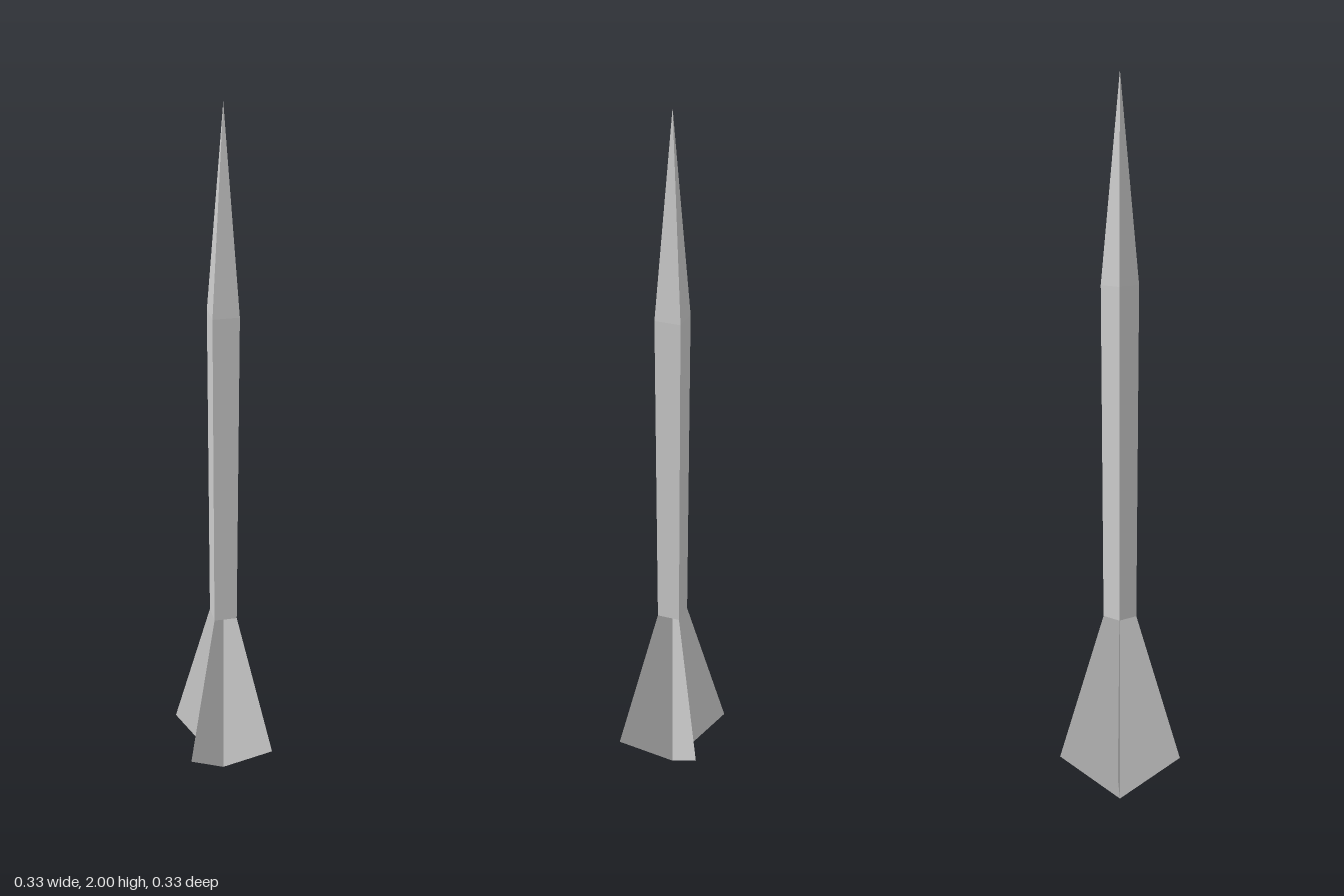
import * as THREE from 'three';

const BASE_Y = 0.53, SHOULDER_Y = 1.44, TIP_Y = 2;
const BASE_R = 0.045, SHOULDER_R = 0.051;

export function createModel() {
  const model = new THREE.Group();
  model.name = 'dart';
  const material = new THREE.MeshStandardMaterial({ color: 0xcccccc, flatShading: true });
  const finMaterial = material.clone();
  finMaterial.side = THREE.DoubleSide;

  // Four-sided section of the body, corners on the x and z axes
  function addSection(name, topR, bottomR, y0, y1, open) {
    const geometry = new THREE.CylinderGeometry(topR, bottomR, y1 - y0, 4, 1, open);
    const mesh = new THREE.Mesh(geometry, material);
    mesh.name = name;
    mesh.position.y = (y0 + y1) / 2;
    model.add(mesh);
  }

  // Slightly tapered shaft and pointed head
  addSection('shaft', SHOULDER_R, BASE_R, BASE_Y, SHOULDER_Y, false);
  addSection('head', 0, SHOULDER_R, SHOULDER_Y, TIP_Y, true);

  // Four thin fins meeting on the axis
  const finShape = new THREE.Shape([
    new THREE.Vector2(0, 0),
    new THREE.Vector2(0.167, 0.122),
    new THREE.Vector2(BASE_R, BASE_Y),
    new THREE.Vector2(0, BASE_Y),
  ]);
  const finGeometry = new THREE.ShapeGeometry(finShape);
  const fins = new THREE.Group();
  fins.name = 'fins';
  for (let i = 0; i < 4; i++) {
    const fin = new THREE.Mesh(finGeometry, finMaterial);
    fin.name = `fin${i + 1}`;
    fin.rotation.y = (i * Math.PI) / 2;
    fins.add(fin);
  }
  model.add(fins);

  return model;
}
